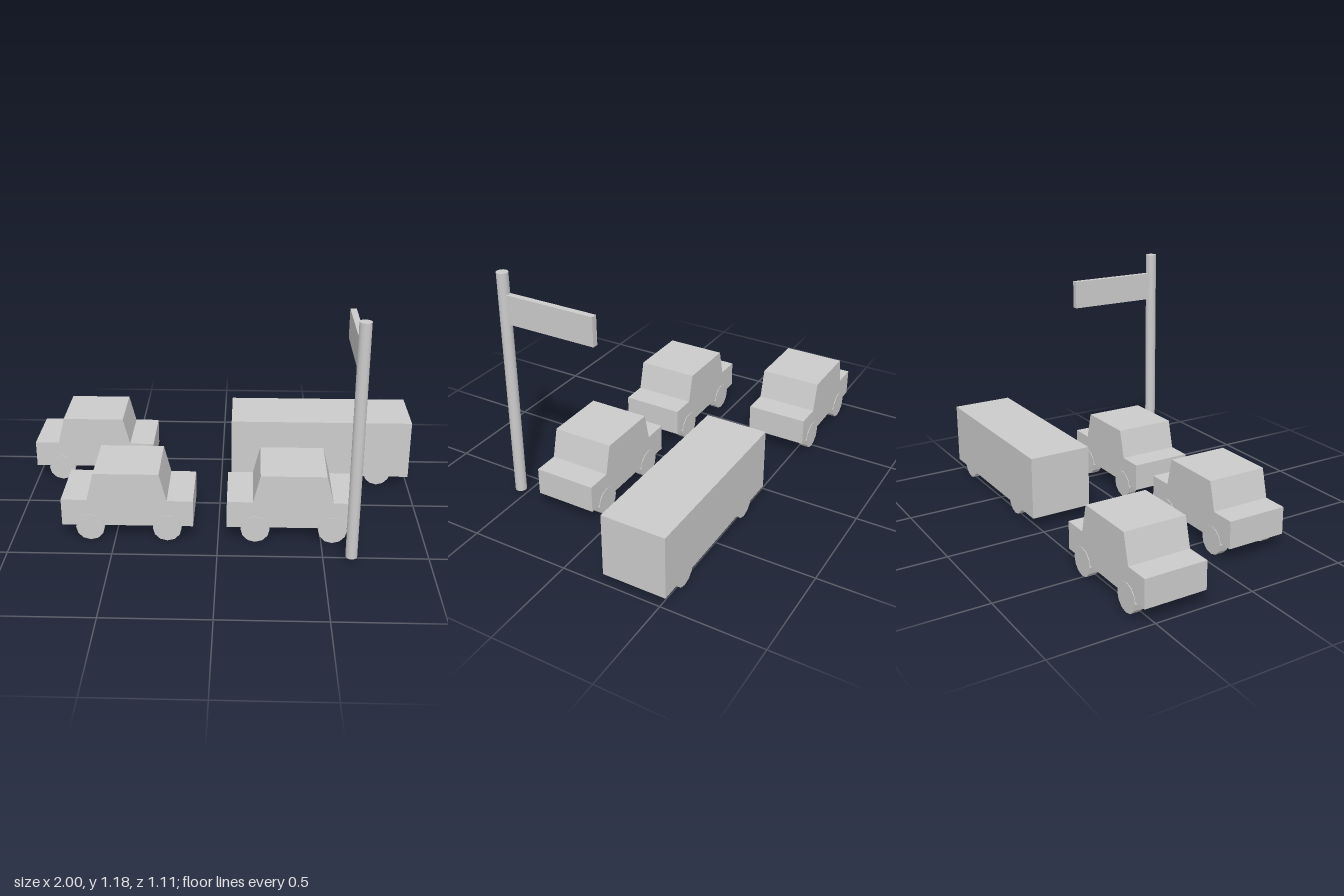
import * as THREE from 'three';

const paint = new THREE.MeshStandardMaterial({ color: 0xcccccc, flatShading: true });
const smoothPaint = new THREE.MeshStandardMaterial({ color: 0xcccccc });

function addMesh(parent, name, geometry, x, y, z, material = paint) {
  const mesh = new THREE.Mesh(geometry, material);
  mesh.name = name;
  mesh.position.set(x, y, z);
  parent.add(mesh);
  return mesh;
}

// Two axles of wheels, mirrored across the vehicle's middle
function addWheels(parent, axles, y, outerZ) {
  const width = 0.048;
  const wheel = new THREE.CylinderGeometry(0.07, 0.07, width, 12);
  wheel.rotateX(Math.PI / 2);
  for (const x of axles) {
    for (const side of [-1, 1]) addMesh(parent, 'wheel', wheel, x, y, side * (outerZ - width / 2));
  }
}

// Car: side profile extruded across its width, rear at x = 0
function makeCar(x, z) {
  const car = new THREE.Group();
  car.name = 'car';
  const width = 0.308;
  const profile = new THREE.Shape([
    [0, 0.08], [0.636, 0.08], [0.636, 0.217], [0.51, 0.217],
    [0.475, 0.358], [0.16, 0.358], [0.125, 0.217], [0, 0.217],
  ].map(([px, py]) => new THREE.Vector2(px, py)));
  const body = new THREE.ExtrudeGeometry(profile, { depth: width, bevelEnabled: false });
  addMesh(car, 'carBody', body, 0, 0, -width / 2);
  addWheels(car, [0.137, 0.51], 0.07, width / 2 + 0.003);
  car.position.set(x, 0, z);
  return car;
}

// Truck: a plain box body on wheels tucked beneath it
function makeTruck() {
  const truck = new THREE.Group();
  truck.name = 'truck';
  addMesh(truck, 'truckBody', new THREE.BoxGeometry(0.945, 0.314, 0.315), 0, 0.213, 0);
  addWheels(truck, [-0.267, 0.306], 0.077, 0.1565);
  truck.position.set(0.5275, 0, -0.371);
  return truck;
}

// Sign: tall round pole with a board reaching backwards
function makeSign() {
  const sign = new THREE.Group();
  sign.name = 'roadSign';
  addMesh(sign, 'pole', new THREE.CylinderGeometry(0.028, 0.028, 1.16, 24), 0, 0.605, 0, smoothPaint);
  addMesh(sign, 'signBoard', new THREE.BoxGeometry(0.03, 0.144, 0.47), 0, 1.01, -0.253);
  sign.position.set(0.631, 0, 0.525);
  return sign;
}

export function createModel() {
  const model = new THREE.Group();
  model.name = 'streetScene';
  for (const [x, z] of [[-1, -0.4], [-0.755, 0.215], [0.043, 0.215]]) model.add(makeCar(x, z));
  model.add(makeTruck(), makeSign());
  return model;
}
